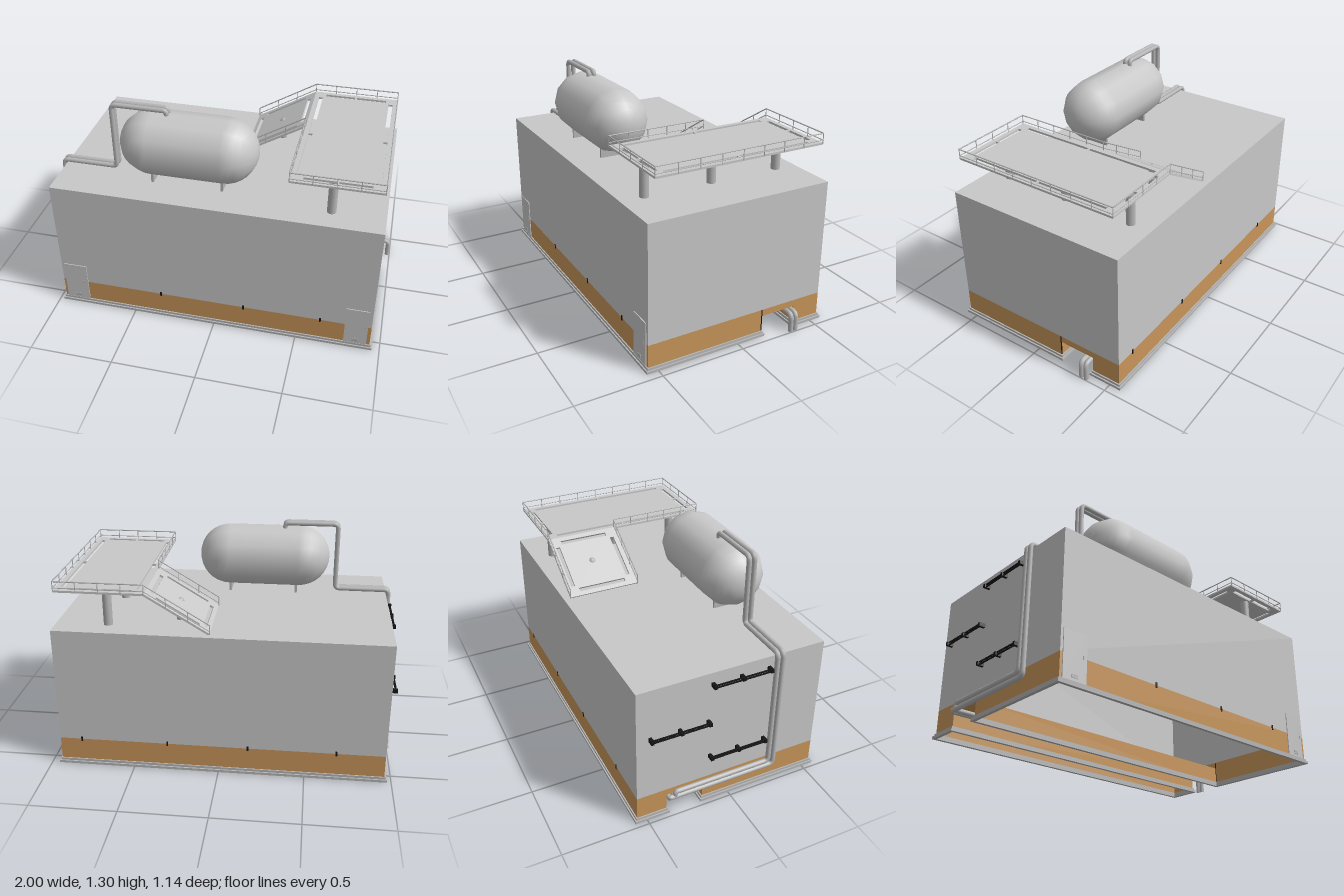
import * as THREE from 'three';

const flat = (color, name, side = THREE.FrontSide) => {
  const m = new THREE.MeshStandardMaterial({ color, side });
  m.name = name;
  return m;
};

export function createModel() {
  const root = new THREE.Group();
  root.name = 'industrialBuilding';
  const grey = flat(0xc8c8c8, 'wallGrey', THREE.DoubleSide);
  const orange = flat(0xc8955a, 'bandOrange', THREE.DoubleSide);
  const metal = flat(0xb6b6b6, 'metalGrey');
  const black = flat(0x151515, 'black');

  const add = (name, geo, mat, x = 0, y = 0, z = 0) => {
    const m = new THREE.Mesh(geo, mat);
    m.name = name;
    m.position.set(x, y, z);
    root.add(m);
    return m;
  };
  const box = (name, mat, w, h, d, x, y, z) => add(name, new THREE.BoxGeometry(w, h, d), mat, x, y, z);

  // Thin wall panels: along x at a given z, along z at a given x, or level
  const wallX = (name, mat, x0, x1, y0, y1, z, face) => {
    const m = add(name, new THREE.PlaneGeometry(x1 - x0, y1 - y0), mat, (x0 + x1) / 2, (y0 + y1) / 2, z);
    m.rotation.y = face > 0 ? 0 : Math.PI;
  };
  const wallZ = (name, mat, z0, z1, y0, y1, x, face) => {
    const m = add(name, new THREE.PlaneGeometry(z1 - z0, y1 - y0), mat, x, (y0 + y1) / 2, (z0 + z1) / 2);
    m.rotation.y = face * Math.PI / 2;
  };
  const level = (name, mat, x0, x1, z0, z1, y, face) => {
    const m = add(name, new THREE.PlaneGeometry(x1 - x0, z1 - z0), mat, (x0 + x1) / 2, y, (z0 + z1) / 2);
    m.rotation.x = -face * Math.PI / 2;
  };

  const X0 = -0.96, X1 = 0.94, Z = 0.555, TOP = 0.855, BAND = 0.165;
  const T0 = -0.38, T1 = -0.16, TH = 0.125; // pipe tunnel

  // Upper shell and roof
  level('roof', grey, X0, X1, -Z, Z, TOP, 1);
  wallX('frontWall', grey, X0, X1, BAND, TOP, Z, 1);
  wallX('backWall', grey, X0, X1, BAND, TOP, -Z, -1);
  for (const [x, f] of [[X0, -1], [X1, 1]]) {
    wallZ('endWall', grey, -Z, Z, BAND, TOP, x, f);
    // Coloured band, interrupted by the tunnel mouth
    wallZ('endBand', orange, T1, Z, 0.01, BAND, x, f);
    wallZ('endBand', orange, -Z, T0, 0.01, BAND, x, f);
    wallZ('tunnelLintel', orange, T0, T1, TH, BAND, x, f);
  }
  wallX('backBand', orange, X0, X1, 0.01, BAND, -Z, -1);
  const doors = [[-0.945, -0.8], [0.785, 0.92]];
  for (const [a, b] of [[X0, -0.945], [-0.8, 0.785], [0.92, X1]]) wallX('frontBand', orange, a, b, 0.01, BAND, Z, 1);

  // Doors with a thin raised leaf and a low vent
  for (const [a, b] of doors) {
    const c = (a + b) / 2;
    wallX('doorPanel', grey, a, b, 0.01, BAND, Z, 1);
    box('doorLeaf', grey, b - a, 0.26, 0.006, c, 0.16, Z + 0.002);
    box('doorVent', metal, 0.035, 0.02, 0.003, c, 0.055, Z + 0.006);
    box('doorHandle', metal, 0.005, 0.02, 0.004, c + 0.05, 0.165, Z + 0.006);
  }

  // Tunnel lining
  wallX('tunnelWall', orange, X0, X1, 0.01, TH, T1, -1);
  wallX('tunnelWall', orange, X0, X1, 0.01, TH, T0, 1);
  level('tunnelCeiling', orange, X0, X1, T0, T1, TH, -1);

  // Stepped plinth round both halves of the footprint
  const rect = (P, x0, x1, y0, y1) => {
    const s = new P();
    s.moveTo(x0, y0); s.lineTo(x1, y0); s.lineTo(x1, y1); s.lineTo(x0, y1); s.closePath();
    return s;
  };
  const slab = (shape, depth) =>
    new THREE.ExtrudeGeometry(shape, { depth, bevelEnabled: false }).rotateX(Math.PI / 2);
  for (const [z0, z1] of [[-Z, T0], [T1, Z]]) {
    [[0.015, 0.016], [0.007, 0.03]].forEach(([e, top]) => {
      const s = rect(THREE.Shape, X0 - e, X1 + e, z0 - e, z1 + e);
      s.holes.push(rect(THREE.Path, X0 + 0.004, X1 - 0.004, z0 + 0.004, z1 - 0.004));
      add('plinth', slab(s, 0.015), metal, 0, top, 0);
    });
  }

  // Small dark markers on the band edge
  for (const x of [-0.33, 0.18, 0.64]) box('bandMarker', black, 0.01, 0.03, 0.006, x, BAND, Z);
  for (const x of [-0.68, -0.17, 0.3, 0.81]) box('bandMarker', black, 0.01, 0.03, 0.006, x, BAND, -Z);
  box('tunnelEdgeMarker', black, 0.005, 0.13, 0.005, X1, 0.1, T1);

  // Storage tank on two saddles
  const tank = add('tank', new THREE.CapsuleGeometry(0.19, 0.425, 8, 12), grey, -0.198, 1.075, 0.275);
  tank.rotation.z = Math.PI / 2;
  for (const x of [-0.4, 0.01]) box('tankSaddle', metal, 0.014, 0.1, 0.18, x, 0.905, 0.28);

  // Pipes with rounded elbows
  const pipe = (name, pts, r) => {
    const p = pts.map(a => new THREE.Vector3(...a));
    const path = new THREE.CurvePath();
    let last = p[0];
    for (let i = 1; i < p.length; i++) {
      if (i === p.length - 1) { path.add(new THREE.LineCurve3(last, p[i])); break; }
      const bend = Math.min(0.03, p[i].distanceTo(p[i - 1]) * 0.45, p[i].distanceTo(p[i + 1]) * 0.45);
      const a = p[i].clone().lerp(p[i - 1], bend / p[i].distanceTo(p[i - 1]));
      const b = p[i].clone().lerp(p[i + 1], bend / p[i].distanceTo(p[i + 1]));
      path.add(new THREE.LineCurve3(last, a));
      path.add(new THREE.QuadraticBezierCurve3(a, p[i], b));
      last = b;
    }
    add(name, new THREE.TubeGeometry(path, 500, r, 10), metal);
  };
  for (const [z, y, zt] of [[0.283, 0.113, -0.366], [0.25, 0.146, -0.335]]) {
    pipe('pipe', [[-0.322, 1.24, z], [-0.322, 1.286, z], [-0.645, 1.286, z], [-0.645, 0.875, z],
      [-0.978, 0.875, z], [-0.978, y, z], [-0.978, y, zt], [-0.978, 0.108, zt],
      [0.985, 0.108, zt], [0.985, 0, zt]], 0.0145);
  }

  // Dark wall bars on the pipe end
  for (const [y, z] of [[0.785, 0.045], [0.55, -0.31], [0.31, 0.045]]) {
    for (const dy of [-0.007, 0.007]) box('wallBar', black, 0.008, 0.006, 0.35, -0.988, y + dy, z);
    for (const s of [-1, 0, 1]) box('wallBarBracket', black, 0.038, 0.022, 0.018, -0.979, y, z + s * 0.168);
  }

  // Platform and ramp: slabs with slots left between rim and inner panel
  const slotted = (w, d, nx, nz) => {
    const s = rect(THREE.Shape, -w / 2, w / 2, -d / 2, d / 2);
    const inset = 0.027, sw = 0.024, tab = 0.012;
    const row = (len, n, cut) => {
      const span = (len - 2 * (inset + sw + tab)) / n;
      for (let i = 0; i < n; i++) {
        const a = -span * n / 2 + i * span;
        cut(a + tab / 2, a + span - tab / 2);
      }
    };
    for (const k of [-1, 1]) {
      const cz = k * (d / 2 - inset - sw / 2), cx = k * (w / 2 - inset - sw / 2);
      row(w, nx, (a, b) => s.holes.push(rect(THREE.Path, a, b, cz - sw / 2, cz + sw / 2)));
      row(d, nz, (a, b) => s.holes.push(rect(THREE.Path, cx - sw / 2, cx + sw / 2, a, b)));
    }
    return slab(s, 0.012);
  };
  const DY = 1.08, RY = 0.862, RX = 0.05, PX0 = 0.41, PX1 = 0.917, PZ0 = -0.515, PZ1 = 0.502, RZ = -0.085;
  add('platformDeck', slotted(PX1 - PX0, PZ1 - PZ0, 2, 2), grey, (PX0 + PX1) / 2, DY, (PZ0 + PZ1) / 2);
  const ramp = add('ramp', slotted(Math.hypot(PX0 - RX, DY - RY), RZ - PZ0, 1, 1), grey,
    (RX + PX0) / 2, (DY + RY) / 2, (RZ + PZ0) / 2);
  ramp.rotation.z = Math.atan2(DY - RY, PX0 - RX);

  // Railing following ramp and deck edges
  const up = new THREE.Vector3(0, 1, 0);
  const bar = (name, a, b, r) => {
    const d = b.clone().sub(a);
    const m = add(name, new THREE.CylinderGeometry(r, r, d.length(), 6), metal);
    m.position.copy(a).addScaledVector(d, 0.5);
    m.quaternion.setFromUnitVectors(up, d.normalize());
  };
  const edge = [[RX, RY, RZ], [PX0, DY, RZ], [PX0, DY, PZ1], [PX1, DY, PZ1], [PX1, DY, PZ0],
    [PX0, DY, PZ0], [RX, RY, PZ0]].map(a => new THREE.Vector3(...a));
  const lift = (v, h) => v.clone().setY(v.y + h);
  for (let i = 0; i < edge.length - 1; i++) {
    const a = edge[i], b = edge[i + 1];
    bar('handRail', lift(a, 0.052), lift(b, 0.052), 0.0035);
    bar('midRail', lift(a, 0.014), lift(b, 0.014), 0.0025);
    const n = Math.round(a.distanceTo(b) / 0.13);
    for (let k = 0; k <= n; k++) {
      const p = a.clone().lerp(b, k / n);
      bar('railPost', lift(p, -0.008), lift(p, 0.052), 0.0025);
    }
  }

  // Columns
  for (const z of [0.415, 0.005, -0.425])
    add('platformColumn', new THREE.CylinderGeometry(0.026, 0.026, 0.215, 16), metal, 0.64, 0.9625, z);
  add('rampColumn', new THREE.CylinderGeometry(0.024, 0.024, 0.11, 16), metal, 0.245, 0.91, -0.3);
  add('rampColumnCap', new THREE.SphereGeometry(0.024, 16, 8), metal, 0.245, 0.963, -0.3);

  return root;
}
